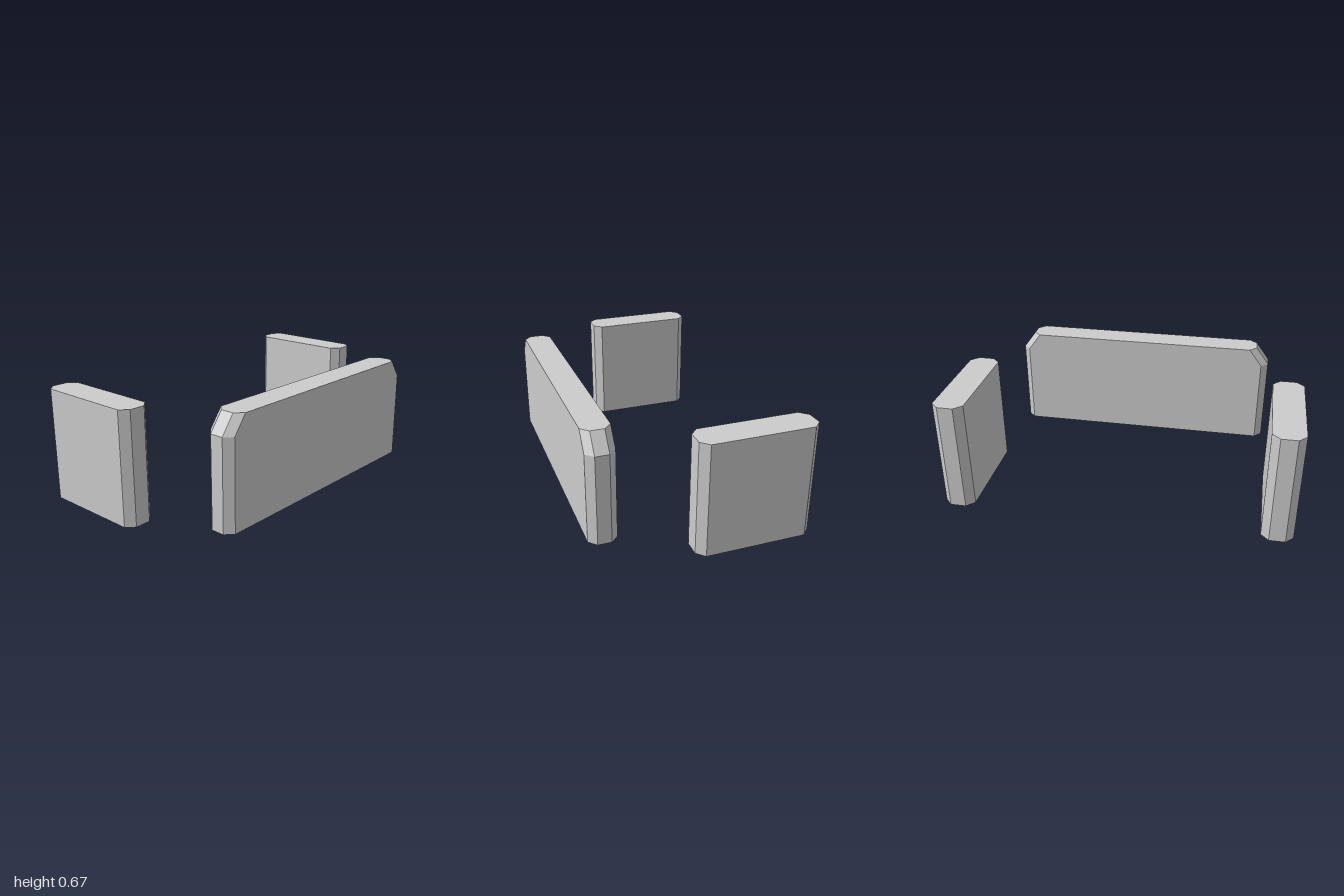
import * as THREE from 'three';

// Upright slab with chamfered vertical edges, standing on y = 0
function slab(width, height, depth, chamfer, steps = 1) {
  const x = width / 2, z = depth / 2, c = chamfer;
  const outline = new THREE.Shape([
    [-x + c, -z], [x - c, -z], [x, -z + c], [x, z - c],
    [x - c, z], [-x + c, z], [-x, z - c], [-x, -z + c],
  ].map(([px, pz]) => new THREE.Vector2(px, pz)));
  return new THREE.ExtrudeGeometry(outline, { depth: height, steps, bevelEnabled: false })
    .rotateX(-Math.PI / 2);
}

// Raise the middle ring and pull the top ring inward to clip the upper corners
function clipTopCorners(geometry, height, cutX, cutY) {
  const p = geometry.attributes.position;
  for (let i = 0; i < p.count; i++) {
    const t = p.getY(i) / height;
    if (t > 0.75) p.setX(i, p.getX(i) - Math.sign(p.getX(i)) * cutX);
    else if (t > 0.25) p.setY(i, height - cutY);
  }
  geometry.computeVertexNormals();
  return geometry;
}

export function createModel() {
  const model = new THREE.Group();
  model.name = 'barrierPanels';
  const grey = new THREE.MeshStandardMaterial({ color: 0xcccccc });
  grey.name = 'light grey';

  // Wide front panel, raised slightly above the ground
  const panelHeight = 0.613;
  const front = new THREE.Mesh(
    clipTopCorners(slab(1.59, panelHeight, 0.16, 0.042, 2), panelHeight, 0.077, 0.103), grey);
  front.name = 'frontPanel';
  front.position.set(0, 0.054, 0.502);
  model.add(front);

  // Mirrored side panels
  const sideGeometry = slab(0.178, 0.642, 0.654, 0.044);
  for (const [name, side] of [['leftPanel', 1], ['rightPanel', -1]]) {
    const panel = new THREE.Mesh(sideGeometry, grey);
    panel.name = name;
    panel.position.set(side * 0.911, 0, -0.255);
    model.add(panel);
  }
  return model;
}
